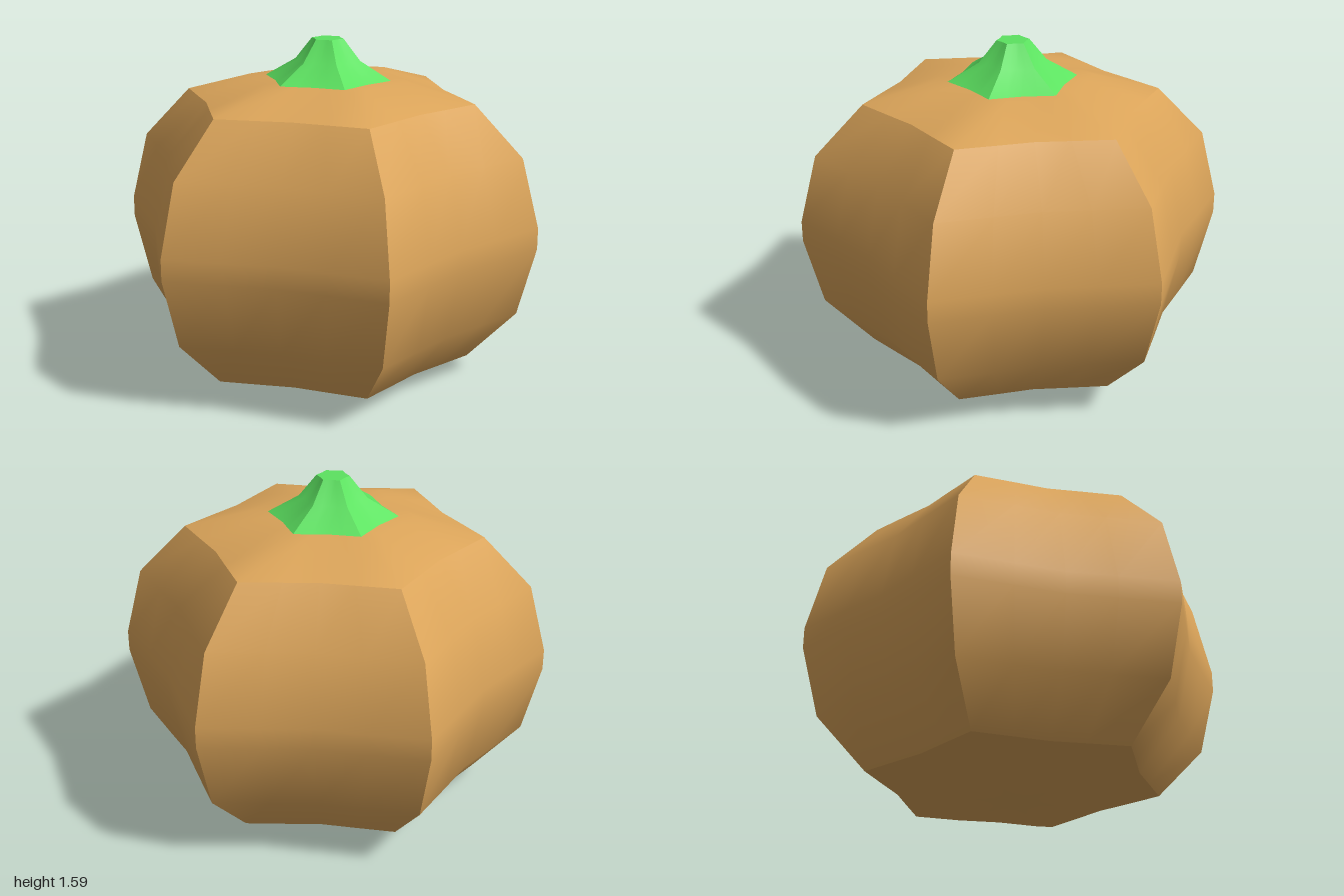
import * as THREE from 'three';
import { toCreasedNormals } from 'three/addons/utils/BufferGeometryUtils.js';

// Six-pointed star outline: sharp ridges with shallow valleys between them
const STAR = [1, 0.875, 0.826, 0.875];
const SIDES = 24;

// Skins a stack of star rings, given as [ridge radius, height] from bottom to top
function starLoft(profile) {
  const point = (j, i) => {
    const [radius, y] = profile[j];
    const r = radius * STAR[i % 4];
    const a = (i / SIDES) * Math.PI * 2;
    return [r * Math.sin(a), y, r * Math.cos(a)];
  };
  const positions = [];
  for (let j = 0; j < profile.length - 1; j++) {
    for (let i = 0; i < SIDES; i++) {
      const a = point(j, i), b = point(j, i + 1);
      const c = point(j + 1, i + 1), d = point(j + 1, i);
      // Rings of zero radius close the ends with single triangles
      if (profile[j][0] > 0) positions.push(...a, ...b, ...c);
      if (profile[j + 1][0] > 0) positions.push(...a, ...c, ...d);
      else continue;
    }
  }
  const geometry = new THREE.BufferGeometry();
  geometry.setAttribute('position', new THREE.Float32BufferAttribute(positions, 3));
  return toCreasedNormals(geometry, Math.PI / 6);
}

export function createModel() {
  const group = new THREE.Group();
  group.name = 'pumpkin';

  const skin = new THREE.MeshStandardMaterial({ color: 0xdca55a });
  skin.name = 'orange skin';
  const green = new THREE.MeshStandardMaterial({ color: 0x5ce260 });
  green.name = 'stem green';

  // Body: flat ends, rounded shoulders and a short straight waist
  const lower = [], upper = [];
  for (let k = 0; k <= 3; k++) {
    const t = (k / 3) * Math.PI / 2;
    const radius = 0.38 + 0.62 * Math.cos(t);
    const rise = 0.05 + 0.65 * Math.sin(t);
    lower.unshift([radius, 0.7 - rise]);
    upper.push([radius, 0.7 + rise]);
  }
  const body = new THREE.Mesh(starLoft([[0, 0], ...lower, ...upper, [0, 1.4]]), skin);
  body.name = 'body';
  group.add(body);

  // Stem: flared foot narrowing to a flat tip
  const stem = new THREE.Mesh(
    starLoft([[0.3, 1.4], [0.155, 1.485], [0.075, 1.585], [0, 1.585]]), green);
  stem.name = 'stem';
  group.add(stem);

  return group;
}
